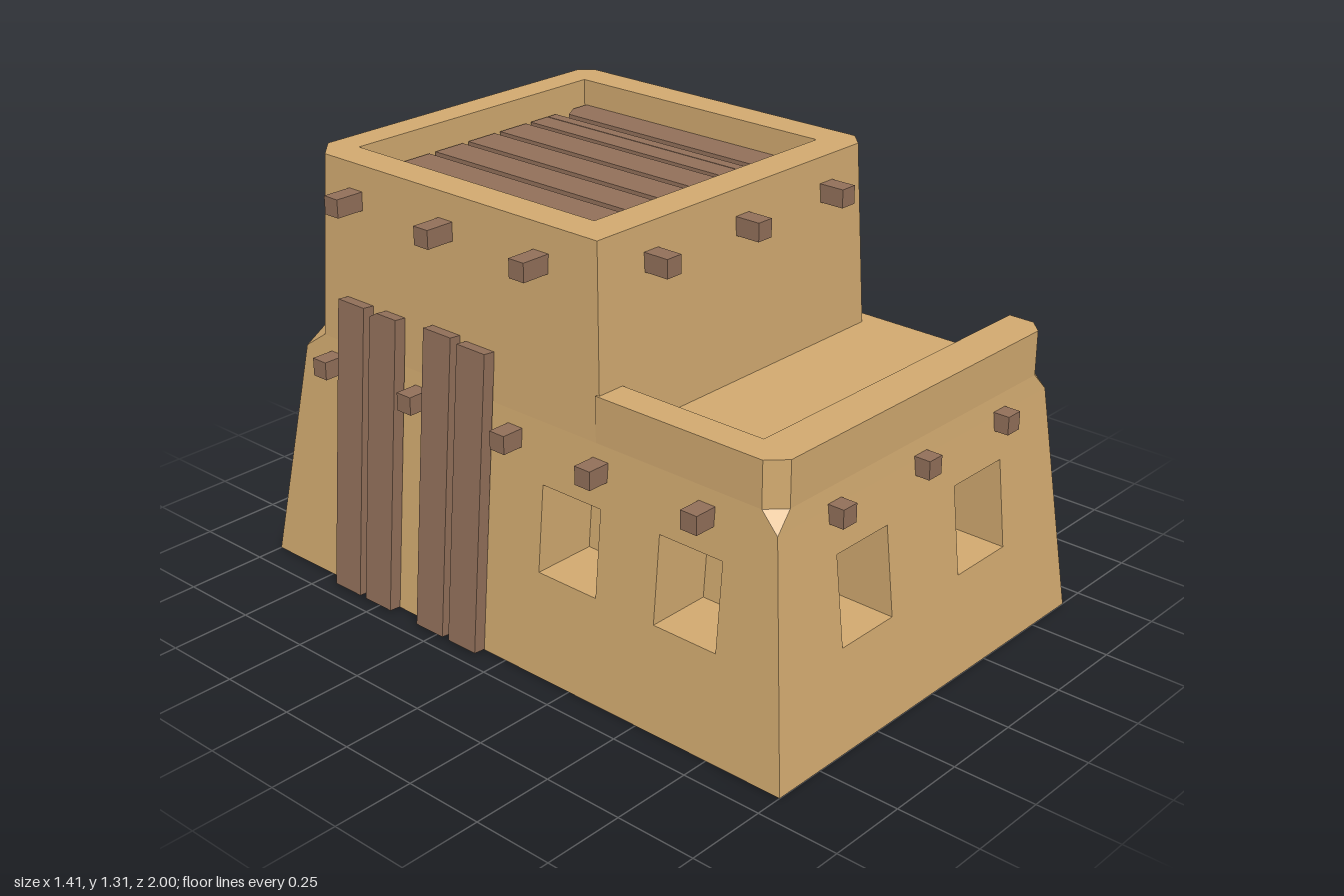
import * as THREE from 'three';
import { mergeGeometries } from 'three/addons/utils/BufferGeometryUtils.js';

const clay = new THREE.MeshStandardMaterial({ color: 0xd2aa70, flatShading: true });
const wood = new THREE.MeshStandardMaterial({ color: 0x92705a, flatShading: true });

// Turn a point of the front wall frame to wall k: 0 front, 1 right (+x), 2 back, 3 left
function turn(k, [x, y, z]) {
  for (let i = 0; i < k; i++) [x, z] = [z, -x];
  return [x, y, z];
}

// Flat polygon with holes, placed in space by map(u, v)
function face(outline, holes, map) {
  const toVec = (p) => new THREE.Vector2(p[0], p[1]);
  const shape = new THREE.Shape(outline.map(toVec));
  holes.forEach((h) => shape.holes.push(new THREE.Path(h.map(toVec))));
  const geo = new THREE.ShapeGeometry(shape).toNonIndexed();
  const pos = geo.attributes.position;
  for (let i = 0; i < pos.count; i++) pos.setXYZ(i, ...map(pos.getX(i), pos.getY(i)));
  geo.deleteAttribute('uv');
  geo.computeVertexNormals();
  return geo;
}

function quad(a, b, c, d) {
  const geo = new THREE.BufferGeometry();
  geo.setAttribute('position', new THREE.Float32BufferAttribute([a, b, c, a, c, d].flat(), 3));
  geo.computeVertexNormals();
  return geo;
}

const rect = (l, r, b, t) => [[l, b], [r, b], [r, t], [l, t]];

// Ends of wall k at a level {y, w: wall distances, c: corner chamfers}
function ends(lv, k) {
  const left = (k + 3) % 4, right = (k + 1) % 4;
  return [-lv.w[left] + lv.c[left], lv.w[right] - lv.c[k]];
}

// Corner points of a level, counter-clockwise from above
function section(lv) {
  return [0, 1, 2, 3].flatMap((k) => ends(lv, k).map((u) => turn(k, [u, lv.y, lv.w[k]])));
}

const unique = (pts) => pts.filter((p, i) => {
  const q = pts[(i + 1) % pts.length];
  return Math.hypot(p[0] - q[0], p[1] - q[1]) > 1e-6;
});
const up = (pts, y, holes = []) =>
  face(unique(pts.map((p) => [p[0], -p[2]])), holes, (u, v) => [u, y, -v]);

// Four sloping walls with recessed openings, and the chamfers between them
function walls(a, b, openings, depth = 0.2) {
  const parts = [];
  for (let k = 0; k < 4; k++) {
    const at = (inset) => (u, y) => turn(k, [u, y,
      THREE.MathUtils.mapLinear(y, a.y, b.y, a.w[k], b.w[k]) - inset]);
    const [al, ar] = ends(a, k), [bl, br] = ends(b, k);
    const holes = openings[k] || [];
    const doors = holes.filter((h) => h[0][1] === a.y);
    const notch = doors.flatMap((h) => [h[0], h[3], h[2], h[1]]);
    parts.push(face([[al, a.y], ...notch, [ar, a.y], [br, b.y], [bl, b.y]],
      holes.filter((h) => !doors.includes(h)), at(0)));
    for (const h of holes) {
      h.forEach((p, i) => {
        const q = h[(i + 1) % h.length];
        if (p[1] === a.y && q[1] === a.y) return;
        parts.push(quad(at(0)(...p), at(0)(...q), at(depth)(...q), at(depth)(...p)));
      });
      parts.push(face(h, [], at(depth)));
    }
    if (a.c[k] || b.c[k]) {
      const n = (k + 1) % 4;
      parts.push(quad(turn(k, [ar, a.y, a.w[k]]), turn(n, [ends(a, n)[0], a.y, a.w[n]]),
        turn(n, [ends(b, n)[0], b.y, b.w[n]]), turn(k, [br, b.y, b.w[k]])));
    }
  }
  return parts;
}

function add(group, name, geo, mat) {
  const mesh = new THREE.Mesh(geo, mat);
  mesh.name = name;
  group.add(mesh);
  return mesh;
}

// Board standing on its lower end, with an optional cut corner
function board(w, len, t, cut = 0) {
  const s = new THREE.Shape();
  s.moveTo(-w / 2, 0);
  s.lineTo(w / 2, 0);
  s.lineTo(w / 2, len);
  s.lineTo(-w / 2 + cut, len);
  s.lineTo(-w / 2, len - cut * 0.6);
  return new THREE.ExtrudeGeometry(s, { depth: t, bevelEnabled: false }).translate(0, 0, -t / 2);
}

export function createModel() {
  const model = new THREE.Group();
  model.name = 'adobeHouse';

  // Lower storey: sloping walls, windows, side doorway, terrace floor
  const base = { y: 0, w: [1, 0.665, 1, 0.665], c: [0, 0.045, 0, 0] };
  const neck = { y: 0.7, w: [0.921, 0.6, 0.88, 0.6], c: [0, 0.045, 0, 0] };
  const deck = { y: 0.755, w: [0.915, 0.595, 0.87, 0.595], c: [0.045, 0.045, 0.07, 0.05] };
  const door = rect(0.09, 0.65, 0, 0.64);
  const lower = walls(base, neck, [
    [rect(-0.375, -0.16, 0.3, 0.565), rect(0.145, 0.365, 0.3, 0.565)],
    [rect(-0.755, -0.54, 0.315, 0.575), rect(-0.33, -0.115, 0.315, 0.575), door],
    [rect(-0.105, 0.125, 0.35, 0.62)],
    [rect(0.54, 0.755, 0.315, 0.575), rect(0.115, 0.33, 0.315, 0.575)],
  ]);
  lower.push(...walls(neck, deck, []), up(section(deck), deck.y));
  const floor = section(base).map((p) => [p[0], p[2]]);
  floor.splice(3, 0, [0.665, -0.09], [0.465, -0.09], [0.465, -0.65], [0.665, -0.65]);
  lower.push(face(unique(floor), [], (u, v) => [u, 0, v]));
  add(model, 'lowerStorey', mergeGeometries(lower), clay);

  // Terrace parapet along the front and left edges
  const rim = new THREE.Shape([[-0.595, -0.3], [-0.5, -0.3], [-0.5, -0.79], [0.595, -0.79],
    [0.595, -0.87], [0.55, -0.915], [-0.545, -0.915], [-0.595, -0.865]]
    .map((p) => new THREE.Vector2(...p)));
  add(model, 'terraceParapet',
    new THREE.ExtrudeGeometry(rim, { depth: 0.135, bevelEnabled: false }).rotateX(-Math.PI / 2), clay)
    .position.y = 0.755;

  // Upper storey: arched window, rim and sunken roof
  const foot = { y: 0.755, w: [0.315, 0.595, 0.87, 0.595], c: [0.055, 0.045, 0.07, 0] };
  const top = { y: 1.31, w: [0.29, 0.57, 0.845, 0.57], c: [0.05, 0.04, 0.07, 0] };
  const arch = [[0.25, 0.8], [0.44, 0.8], [0.44, 0.96], [0.42, 1.02], [0.345, 1.06],
    [0.27, 1.02], [0.25, 0.96]];
  const well = rect(-0.465, 0.465, -0.18, 0.75);
  const roofY = 1.19;
  const upper = walls(foot, top, [[], [arch]]);
  upper.push(up(section(top), top.y, [well]), face(well, [], (u, v) => [u, roofY, -v]));
  well.forEach((p, i) => {
    const q = well[(i + 1) % 4];
    upper.push(quad([p[0], top.y, -p[1]], [q[0], top.y, -q[1]],
      [q[0], roofY, -q[1]], [p[0], roofY, -p[1]]));
  });
  add(model, 'upperStorey', mergeGeometries(upper), clay);

  // Beam ends: [height, per-wall outer reach, per-wall positions]
  const beams = new THREE.Group();
  beams.name = 'beamEnds';
  const across = [-0.37, 0, 0.37];
  const lowRow = [-0.69, -0.32, 0, 0.375, 0.74], highRow = [-0.09, 0.275, 0.645];
  const rows = [
    [0.685, [0.97, 0.655, 0.93, 0.67], [across, lowRow, across, lowRow.map((u) => -u)]],
    [1.205, [0.375, 0.655, 0.93, 0.665], [across, highRow, across, highRow.map((u) => -u)]],
  ];
  for (const [y, reach, spots] of rows)
    for (let k = 0; k < 4; k++)
      for (const u of spots[k]) {
        const beam = add(beams, 'beamEnd', new THREE.BoxGeometry(0.055, 0.055, 0.12), wood);
        beam.position.set(...turn(k, [u, y, reach[k] - 0.06]));
        beam.rotation.y = k * Math.PI / 2;
      }
  model.add(beams);

  // Roof boards, one of them split
  const roof = new THREE.Group();
  roof.name = 'roofBoards';
  const roofBoards = [-0.395, -0.262, -0.128, 0.005, 0.138].map((x) => [x, 0.11, 0]);
  roofBoards.push([0.25, 0.072, 0], [0.307, 0.036, 0], [0.407, 0.11, 0.05]);
  for (const [x, w, cut] of roofBoards) {
    const b = add(roof, 'roofBoard', board(w, 0.91, 0.04, cut), wood);
    b.rotation.x = -Math.PI / 2;
    b.position.set(x, roofY + 0.02, 0.17);
  }
  model.add(roof);

  // Boards leaning on a side wall: [position, width, height, cut corner]
  function leaning(name, k, bottom, lean, list) {
    const g = new THREE.Group();
    g.name = name;
    g.rotation.y = k * Math.PI / 2;
    for (const [u, w, h, cut] of list) {
      const b = add(g, 'leaningBoard', board(w, h / Math.cos(lean), 0.038, cut), wood);
      b.position.set(u, 0.004, bottom);
      b.rotation.x = -lean;
    }
    model.add(g);
  }
  leaning('rightDoorBoards', 1, 0.685, 0.088, [[0.15, 0.085, 0.705, 0], [0.24, 0.05, 0.705, 0],
    [0.285, 0.03, 0.705, 0], [0.36, 0.085, 0.645, 0.03], [0.467, 0.085, 0.705, 0],
    [0.555, 0.05, 0.705, 0], [0.6, 0.03, 0.705, 0]]);
  leaning('leftDoorBoards', 3, 0.685, 0.088, [[-0.635, 0.11, 0.9, 0], [-0.5, 0.11, 0.9, 0.03],
    [-0.275, 0.11, 0.91, 0], [-0.14, 0.11, 0.9, 0]]);

  return model;
}
